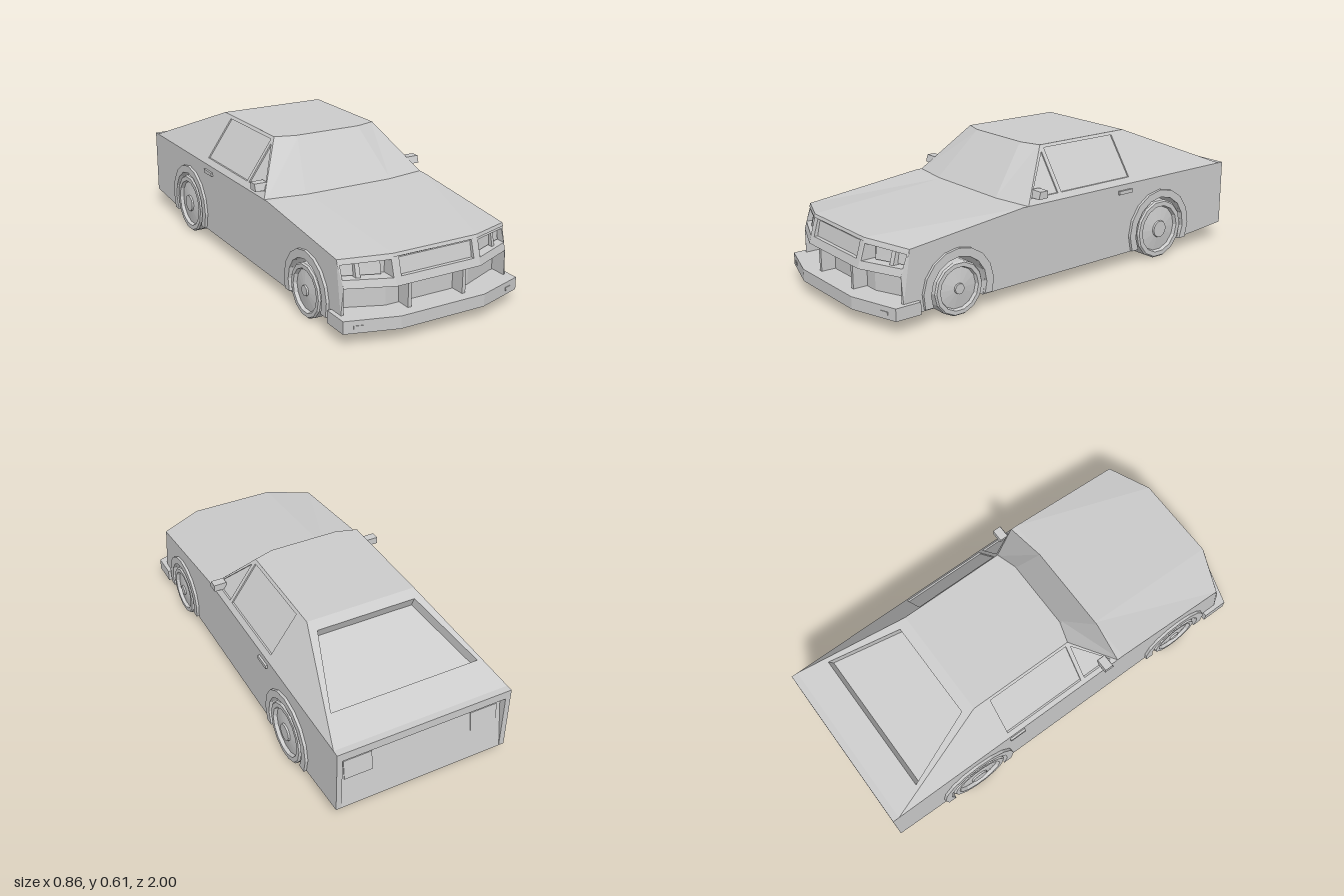
import * as THREE from 'three';

const material = new THREE.MeshStandardMaterial({ color: 0xcccccc, flatShading: true, side: THREE.DoubleSide });
const BEND = 0.205, HALF = 0.41;

export function createModel() {
  const car = new THREE.Group();
  car.name = 'car';

  const add = (name, geo) => {
    const mesh = new THREE.Mesh(geo, material);
    mesh.name = name;
    car.add(mesh);
  };
  // Mirror across x = 0, swapping corners so faces stay outward
  const mirrored = (geo) => {
    const g = geo.index ? geo.toNonIndexed() : geo.clone();
    g.scale(-1, 1, 1);
    for (const attr of Object.values(g.attributes)) {
      const n = attr.itemSize, a = attr.array;
      for (let i = 0; i < a.length; i += 3 * n)
        for (let k = 0; k < n; k++) [a[i + k], a[i + n + k]] = [a[i + n + k], a[i + k]];
    }
    g.computeVertexNormals();
    return g;
  };
  const addPair = (name, geo) => {
    add(name + 'Left', geo);
    add(name + 'Right', mirrored(geo));
  };
  const mapVertices = (geo, rule) => {
    const p = geo.attributes.position, v = new THREE.Vector3();
    for (let i = 0; i < p.count; i++) {
      rule(v.fromBufferAttribute(p, i));
      p.setXYZ(i, v.x, v.y, v.z);
    }
    geo.computeVertexNormals();
    return geo;
  };
  const vec = (pts) => pts.map(([x, y]) => new THREE.Vector2(x, y));
  const extrude = (pts, depth, holes = [], steps = 1) => {
    const shape = new THREE.Shape(vec(pts));
    holes.forEach((h) => shape.holes.push(new THREE.Path(vec(h))));
    return new THREE.ExtrudeGeometry(shape, { depth, steps, bevelEnabled: false });
  };
  // Side profile given as [z, y], extruded from x0 to x1
  const extrudeX = (pts, x0, x1, holes = [], steps = 1) => {
    const flip = (l) => l.map(([z, y]) => [-z, y]);
    return extrude(flip(pts), x1 - x0, holes.map(flip), steps).rotateY(Math.PI / 2).translate(x0, 0, 0);
  };
  // Plan outline given as [x, z], extruded from y0 to y1
  const extrudeY = (pts, y0, y1) =>
    extrude(pts.map(([x, z]) => [x, -z]), y1 - y0).rotateX(-Math.PI / 2).translate(0, y0, 0);
  const rect = (x0, x1, y0, y1) => [[x0, y0], [x1, y0], [x1, y1], [x0, y1]];
  const arc = (cz, cy, r, base, n = 10) => {
    const a0 = Math.asin((base - cy) / r);
    return Array.from({ length: n + 1 }, (_, i) => {
      const a = a0 + (Math.PI - 2 * a0) * i / n;
      return [cz + r * Math.cos(a), cy + r * Math.sin(a)];
    });
  };
  const sweep = (x) => Math.max(0, Math.abs(x) - BEND) / (HALF - BEND);

  // Lower body with open wheel arches and a swept-back nose
  const axles = [
    { name: 'front', z: 0.615, r: 0.12, open: 0.14, flare: 0.177, hub: 0.2 },
    { name: 'rear', z: -0.557, r: 0.143, open: 0.158, flare: 0.194, hub: 0.29 },
  ];
  const profile = [
    [0.885, 0.06],
    ...arc(0.615, 0.12, 0.14, 0.06), ...arc(-0.557, 0.143, 0.158, 0.065),
    [-1, 0.09], [-0.96, 0.36], [-1, 0.36], [-1, 0.4], [0.27, 0.4],
    [0.93, 0.352], [0.935, 0.338], [0.885, 0.338],
  ];
  add('body', mapVertices(extrudeX(profile, -HALF, HALF, [], 4), (v) => {
    const t = sweep(v.x);
    if (v.z > 0.8) {
      v.z -= 0.085 * t;
      if (v.y > 0.3) v.y -= 0.015 * t;
    }
  }));

  // Nose panels: drawn from the front, raked and swept; depth 0 is the back wall, 1 the face
  const nosePart = (pts, d0, d1, holes = []) =>
    mapVertices(extrude(pts, d1 - d0, holes).translate(0, 0, d0), (v) => {
      const t = sweep(v.x), face = 0.93 + Math.min(0.34 - v.y, 0.115) * 0.3;
      v.z = 0.885 + (face - 0.885) * v.z - 0.085 * t;
      if (v.y > 0.3) v.y -= 0.015 * t;
    });
  add('upperGrilleFrame', nosePart(rect(-BEND, BEND, 0.225, 0.34), 0, 1, [rect(-0.178, 0.178, 0.26, 0.335)]));
  add('upperGrillePanel', nosePart(rect(-0.178, 0.178, 0.26, 0.327), 0, 0.75));
  addPair('headlightFrame', nosePart(
    [[BEND, 0.34], [HALF, 0.34], [HALF, 0.11], [0.4, 0.11], [0.4, 0.225], [BEND, 0.225]],
    0, 1, [rect(0.212, 0.4, 0.258, 0.328)]));
  addPair('innerHeadlight', nosePart(rect(0.24, 0.325, 0.262, 0.318), 0, 0.45));
  addPair('outerHeadlight', nosePart(rect(0.342, 0.395, 0.262, 0.318), 0, 0.45));
  addPair('headlightDivider', nosePart(rect(0.325, 0.342, 0.258, 0.328), 0, 0.75));
  addPair('grilleDivider', nosePart(rect(0.126, 0.142, 0.115, 0.225), 0, 0.85));

  // Front bumper and indicators
  add('frontBumper', extrudeY(
    [[-0.43, 0.81], [0.43, 0.81], [0.43, 0.93], [BEND, 1], [-BEND, 1], [-0.43, 0.93]], 0.058, 0.113));
  addPair('indicator', extrudeY([[0.353, 0.94], [0.39, 0.93], [0.39, 0.945], [0.353, 0.957]], 0.077, 0.091));

  // Roof
  add('roof', extrudeY(
    [[-0.26, -0.45], [0.26, -0.45], [0.26, 0.055], [0.165, 0.085], [-0.165, 0.085], [-0.26, 0.055]], 0.6, 0.615));

  // Windshield: strips between a lower and an upper edge
  const strips = (low, high) => {
    const pos = [];
    for (let i = 0; i < low.length - 1; i++)
      pos.push(...low[i], ...low[i + 1], ...high[i + 1], ...low[i], ...high[i + 1], ...high[i]);
    const g = new THREE.BufferGeometry();
    g.setAttribute('position', new THREE.Float32BufferAttribute(pos, 3));
    g.computeVertexNormals();
    return g;
  };
  const edge = (xo, xi, y, zo, zi) => [[-xo, y, zo], [-xi, y, zi], [xi, y, zi], [xo, y, zo]];
  add('windshieldFrame', strips(edge(0.41, 0.22, 0.4, 0.24, 0.27), edge(0.26, 0.165, 0.615, 0.055, 0.085)));
  add('windshield', strips(edge(0.392, 0.22, 0.407, 0.24, 0.267), edge(0.25, 0.163, 0.606, 0.068, 0.096)));

  // Leaning cabin sides with window openings and glass
  const lean = (geo) => mapVertices(geo, (v) => { v.x += HALF - (v.y - 0.4) * 0.698; });
  const doorWindow = rect(-0.37, 0.04, 0.425, 0.602);
  const ventWindow = [[0.21, 0.425], [0.06, 0.425], [0.06, 0.59]];
  addPair('cabinSide', lean(extrudeX(
    [[0.24, 0.4], [0.055, 0.615], [-0.45, 0.615], [-0.97, 0.4]], -0.014, 0, [doorWindow, ventWindow])));
  addPair('sideWindow', lean(extrudeX(doorWindow, -0.014, -0.008)));
  addPair('ventWindow', lean(extrudeX(ventWindow, -0.014, -0.008)));

  // Sloping tail with a sunken rear window
  const run = Math.hypot(0.52, 0.215), c = 0.52 / run, s = 0.215 / run;
  const slope = new THREE.Matrix4().makeBasis(
    new THREE.Vector3(-1, 0, 0), new THREE.Vector3(0, s, c), new THREE.Vector3(0, c, -s)).setPosition(0, 0.615, -0.45);
  const opening = [[-0.235, -0.052], [0.235, -0.052], [0.348, -0.412], [-0.348, -0.412]];
  add('tailFrame', extrude([[-0.26, 0], [0.26, 0], [HALF, -run], [-HALF, -run]], 0.058, [opening])
    .translate(0, 0, -0.058).applyMatrix4(slope));
  add('rearWindow', extrude(opening, 0.006).translate(0, 0, -0.058).applyMatrix4(slope));

  // Rear panel cheeks and lights
  addPair('rearCheek', extrudeX([[-1, 0.09], [-0.96, 0.36], [-1, 0.36]], 0.385, HALF));
  addPair('tailLight', extrudeX([[-0.983, 0.23], [-0.97, 0.32], [-0.96, 0.32], [-0.97, 0.23]], 0.235, 0.365));

  // Mirrors and door handles
  addPair('mirror', extrudeX([[0.2, 0.426], [0.15, 0.426], [0.15, 0.459], [0.19, 0.459]], 0.37, 0.43));
  addPair('doorHandle', extrudeX(rect(-0.37, -0.29, 0.357, 0.374), 0.4, 0.42));

  // Wheels and arch flares
  for (const { name, z, r, open, flare, hub } of axles) {
    const ring = [...arc(z, r, flare, 0.068), ...arc(z, r, open, 0.068).reverse()];
    addPair(name + 'Flare', extrudeX(ring, 0.4, 0.423));
    const section = [[0, -0.06], [0.93, -0.06], [1, -0.052], [1, 0.05], [0.95, 0.058], [0.8, 0.058],
      [0.76, 0.042], [hub, 0.052], [hub * 0.95, 0.06], [0, 0.06]];
    const wheel = new THREE.LatheGeometry(section.map(([q, x]) => new THREE.Vector2(q * r, x)), 14);
    addPair(name + 'Wheel', wheel.rotateZ(-Math.PI / 2).translate(0.365, r, z));
  }
  return car;
}
